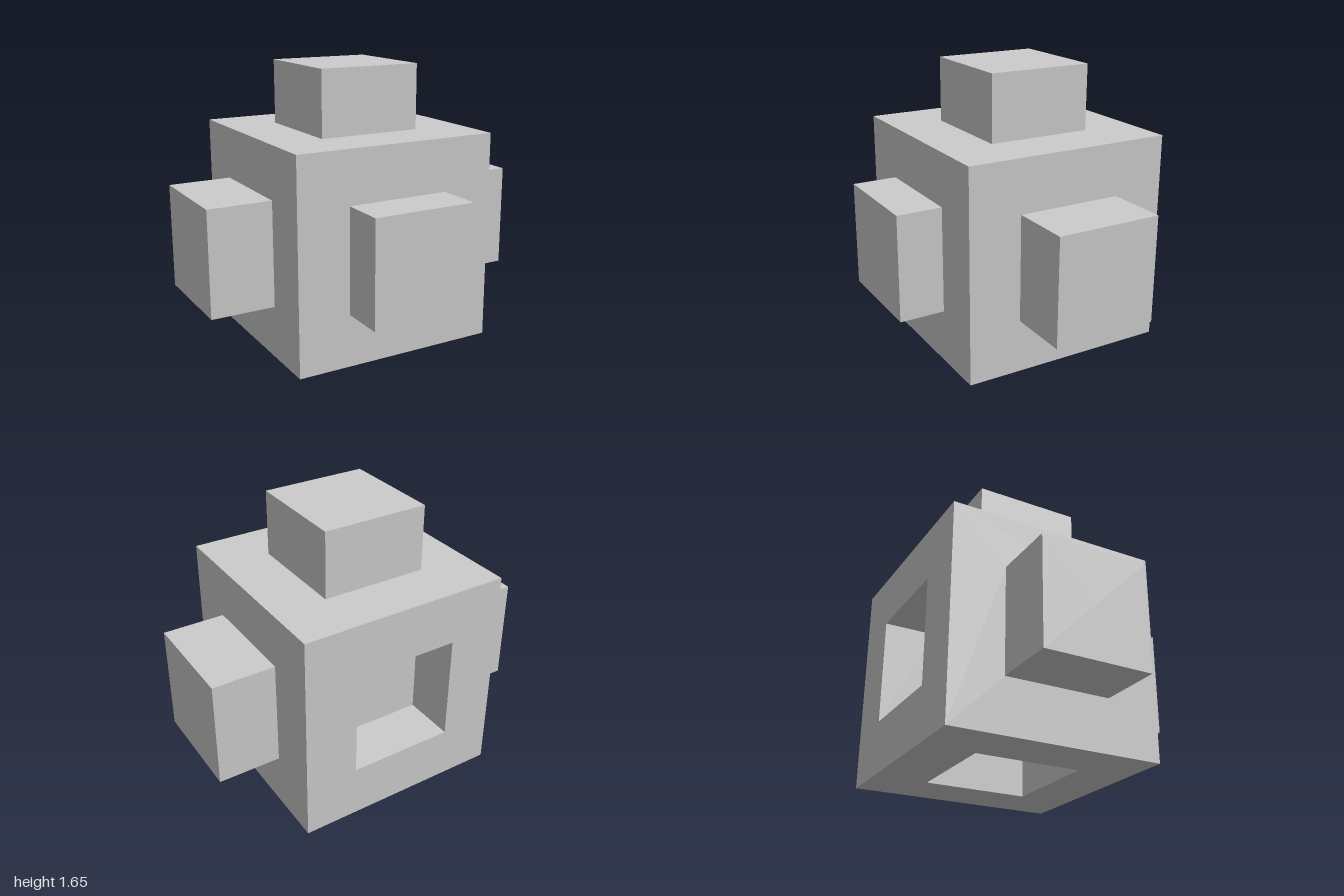
import * as THREE from 'three';

const SIZE = 1.255;          // edge of the cube
const STUD = 0.627;          // edge of each stud and socket
const CENTRE = new THREE.Vector3(0.007, SIZE / 2, -0.134);

// One cube side facing +y: a square frame, then walls and a cap raised (height > 0) or sunk (height < 0)
function sideGeometry(height) {
  const outer = SIZE / Math.SQRT2, inner = STUD / Math.SQRT2;
  const profile = [[outer, 0], [inner, 0], [inner, height], [0, height]]
    .map(([x, y]) => new THREE.Vector2(x, y));
  const geometry = new THREE.LatheGeometry(profile, 4, Math.PI / 4).toNonIndexed();
  geometry.translate(0, SIZE / 2, 0);
  geometry.computeVertexNormals();
  return geometry;
}

export function createModel() {
  const group = new THREE.Group();
  group.name = 'studdedCube';
  const material = new THREE.MeshStandardMaterial({ color: 0xcccccc, flatShading: true });
  const up = new THREE.Vector3(0, 1, 0);

  // Studs on four sides, sockets in the back and bottom
  const sides = [
    ['topStudSide', [0, 1, 0], 0.39],
    ['leftStudSide', [1, 0, 0], 0.366],
    ['rightStudSide', [-1, 0, 0], 0.38],
    ['frontStudSide', [0, 0, 1], 0.268],
    ['backSocketSide', [0, 0, -1], -0.314],
    ['bottomSocketSide', [0, -1, 0], -0.314],
  ];
  for (const [name, direction, height] of sides) {
    const mesh = new THREE.Mesh(sideGeometry(height), material);
    mesh.name = name;
    mesh.quaternion.setFromUnitVectors(up, new THREE.Vector3(...direction));
    mesh.position.copy(CENTRE);
    group.add(mesh);
  }
  return group;
}
